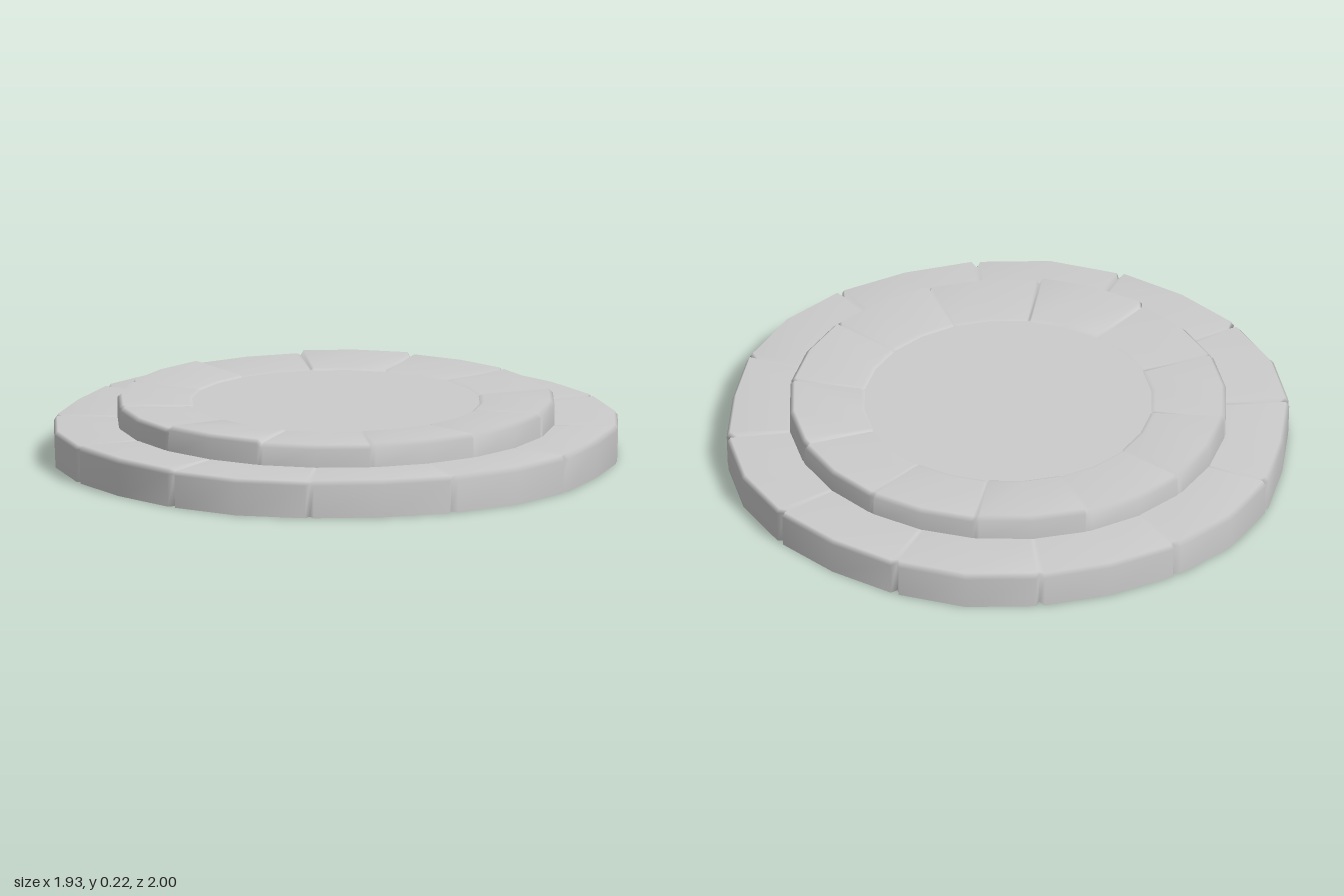
import * as THREE from 'three';

const stoneMaterial = new THREE.MeshStandardMaterial({ color: 0xcccccc, side: THREE.DoubleSide });
const STONES = 12;

// Slightly uneven rim radius, given every 15 degrees over one quarter and mirrored
const rimQuarter = [0.964, 0.98, 0.989, 0.985, 0.981, 0.988, 1.0];
function rimRadius(degrees) {
  let d = ((degrees % 180) + 180) % 180;
  if (d > 90) d = 180 - d;
  const i = Math.min(5, Math.floor(d / 15));
  return THREE.MathUtils.lerp(rimQuarter[i], rimQuarter[i + 1], d / 15 - i);
}

// Ring of 12 stones with V joints. Profile rows: { r, y, notch }, where r is
// a distance in from the rim; notch scales the depth of the joint.
function stoneRing(name, profile, startDegrees, radiusAt, unevenness) {
  const columns = [];
  for (let s = 0; s < STONES; s++) {
    const a = startDegrees + s * 30;
    const lift = Math.sin(s * 2.4 + 0.6) * unevenness;
    columns.push({ a, joint: 1, lift: 0 });
    for (const step of [0.9, 15, 29.1]) {
      columns.push({ a: a + step, joint: 0, lift });
    }
  }
  const positions = [], index = [];
  const rows = profile.length, count = columns.length;
  columns.forEach(({ a, joint, lift }, i) => {
    const t = THREE.MathUtils.degToRad(a);
    profile.forEach(({ r, y, notch, top = 0 }, j) => {
      const radius = radiusAt(a) - r - joint * notch * 0.025;
      positions.push(radius * Math.cos(t), y + top * (lift - joint * 0.01), radius * Math.sin(t));
      if (j < rows - 1) {
        const p = i * rows + j, q = ((i + 1) % count) * rows + j;
        index.push(p, p + 1, q, q, p + 1, q + 1);
      }
    });
  });
  const geometry = new THREE.BufferGeometry();
  geometry.setAttribute('position', new THREE.Float32BufferAttribute(positions, 3));
  geometry.setIndex(index);
  geometry.computeVertexNormals();
  const mesh = new THREE.Mesh(geometry, stoneMaterial);
  mesh.name = name;
  return mesh;
}

export function createModel() {
  const group = new THREE.Group();
  group.name = 'steppedStoneDisc';

  // Lower tier: upright wall, softened edge, nearly flat top
  group.add(stoneRing('lowerStoneRing', [
    { r: 0.004, y: 0, notch: 1 },
    { r: 0, y: 0.115, notch: 1 },
    { r: 0.012, y: 0.132, notch: 1, top: 1 },
    { r: 0.24, y: 0.13, notch: 0 },
  ], 15, rimRadius, 0.003));

  // Narrow underside lip around the hollow base
  group.add(stoneRing('bottomLip', [
    { r: 0.075, y: 0, notch: 0 },
    { r: 0.004, y: 0, notch: 1 },
  ], 15, rimRadius, 0));

  // Upper tier, joints staggered against the lower tier
  group.add(stoneRing('upperStoneRing', [
    { r: 0, y: 0.122, notch: 0 },
    { r: 0, y: 0.198, notch: 0.5, top: 1 },
    { r: 0.015, y: 0.213, notch: 0.5, top: 1 },
    { r: 0.245, y: 0.204, notch: 0, top: 0.5 },
    { r: 0.262, y: 0.198, notch: 0 },
  ], 0, () => 0.76, 0.006));

  // Flat centre slab
  const slab = new THREE.Mesh(new THREE.CircleGeometry(0.505, 48), stoneMaterial);
  slab.name = 'centreSlab';
  slab.rotation.x = -Math.PI / 2;
  slab.position.y = 0.199;
  group.add(slab);

  return group;
}
